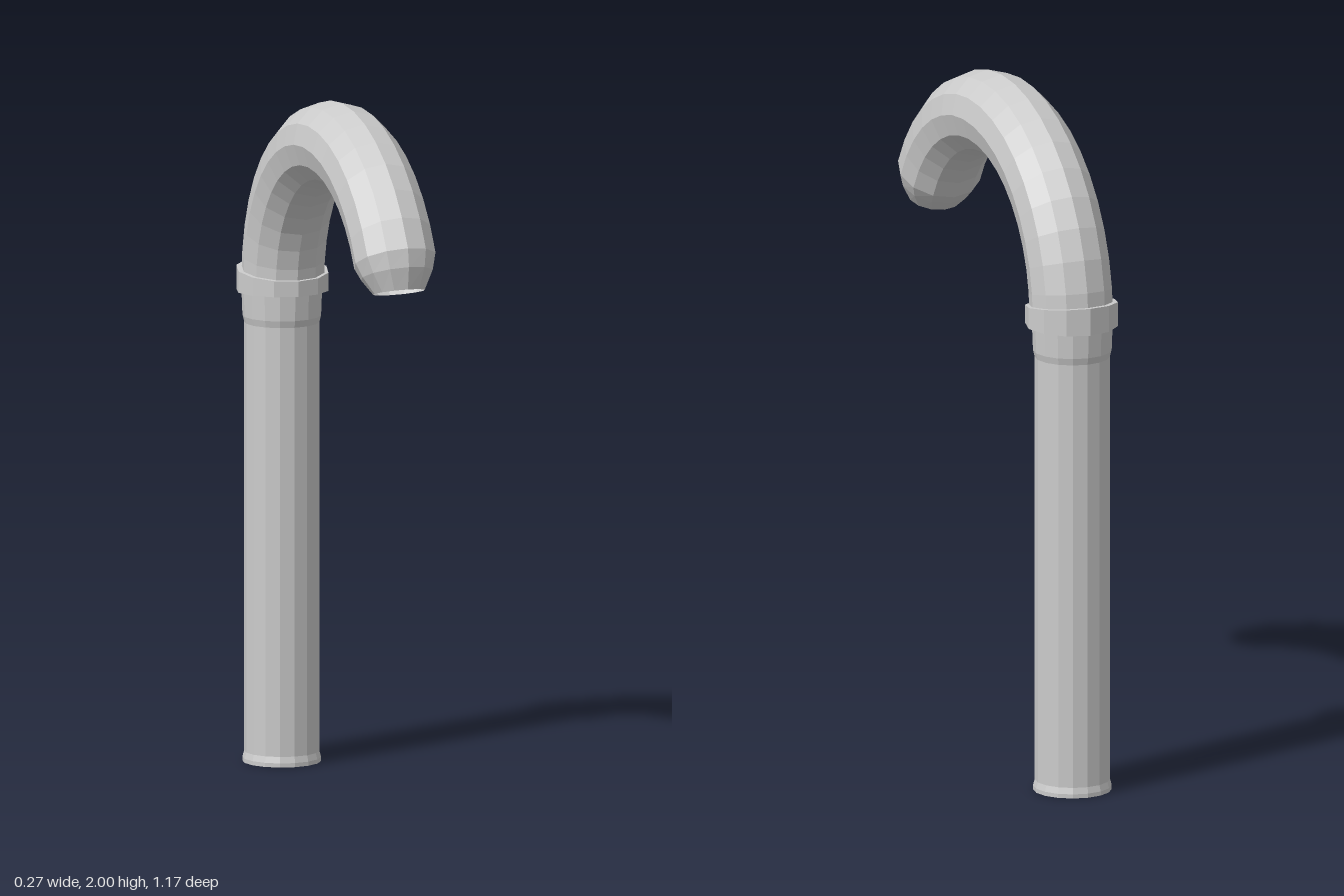
import * as THREE from 'three';

const material = new THREE.MeshStandardMaterial({ color: 0xcccccc, flatShading: true, side: THREE.DoubleSide });

function addPart(group, name, geometry) {
  const faceted = geometry.toNonIndexed();
  faceted.computeVertexNormals();
  const mesh = new THREE.Mesh(faceted, material);
  mesh.name = name;
  group.add(mesh);
  return mesh;
}

// Upright post: flared foot, straight shaft, slightly wider sleeve at the top
function postGeometry() {
  const profile = [
    [0, 0], [0.113, 0], [0.113, 0.012], [0.108, 0.03],
    [0.108, 1.28], [0.113, 1.3], [0.116, 1.38], [0, 1.38],
  ].map(([r, y]) => new THREE.Vector2(r, y));
  return new THREE.LatheGeometry(profile, 16);
}

// Collar ring whose upper rim rises toward the back
function collarGeometry() {
  const geometry = new THREE.CylinderGeometry(0.134, 0.134, 0.06, 12);
  const p = geometry.attributes.position;
  for (let i = 0; i < p.count; i++) {
    const y = p.getY(i) > 0 ? 1.435 - p.getZ(i) * 0.11 : 1.373 + p.getZ(i) * 0.02;
    p.setY(i, y);
  }
  return geometry;
}

// Curved pipe: a 12-sided tube swept round an arc, narrowing at its open tip
function hookGeometry() {
  const R = 0.485, centreY = 1.395, centreZ = 0.04;
  const angles = [];
  for (let a = 180; a >= 27; a -= 9) angles.push(a);
  angles.push(22, 16);
  const last = angles.length - 1;
  const radius = (i) => (i === last ? 0.075 : i === last - 1 ? 0.105 : 0.12);

  const geometry = new THREE.CylinderGeometry(1, 1, last, 12, last, true);
  const p = geometry.attributes.position;
  for (let k = 0; k < p.count; k++) {
    const i = Math.round(p.getY(k) + last / 2);
    const a = THREE.MathUtils.degToRad(angles[i]);
    const d = R - p.getZ(k) * radius(i);
    const z = centreZ + d * Math.cos(a);
    const drift = 0.012 * (z + 0.45); // the pipe veers very slightly to its left
    p.setXYZ(k, p.getX(k) * radius(i) + drift, centreY + d * Math.sin(a), z);
  }
  return geometry;
}

export function createModel() {
  const group = new THREE.Group();
  group.name = 'hookedPipe';
  addPart(group, 'post', postGeometry()).position.z = -0.453;
  addPart(group, 'collar', collarGeometry()).position.z = -0.447;
  addPart(group, 'curvedPipe', hookGeometry());
  return group;
}
